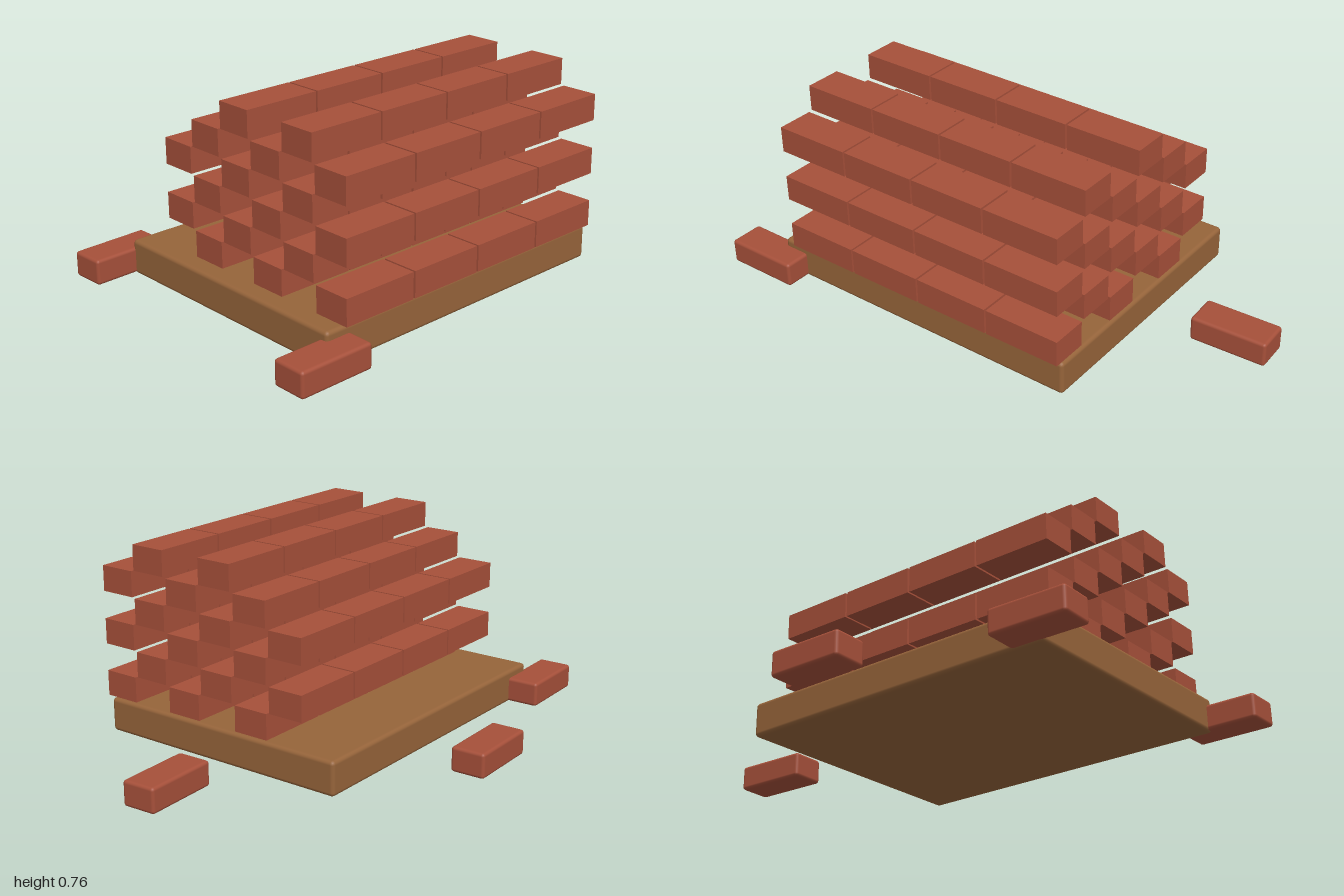
import * as THREE from 'three';
import { RoundedBoxGeometry } from 'three/addons/geometries/RoundedBoxGeometry.js';

export function createModel() {
  const model = new THREE.Group();
  model.name = 'brickPile';
  const brickRed = new THREE.MeshStandardMaterial({ color: 0xa6503a });
  brickRed.name = 'brickRed';
  const wood = new THREE.MeshStandardMaterial({ color: 0x96643a });
  wood.name = 'wood';

  const add = (parent, name, geometry, material, x, y, z, turn = 0) => {
    const mesh = new THREE.Mesh(geometry, material);
    mesh.name = name;
    mesh.position.set(x, y, z);
    mesh.rotation.y = turn;
    parent.add(mesh);
  };

  // Wooden base slab with softened edges
  add(model, 'base', new RoundedBoxGeometry(1.315, 0.133, 1.06, 2, 0.015), wood, -0.15, 0.0665, 0.115);

  // Stacked courses: alternate layers are shifted half a step in depth
  const stack = new THREE.Group();
  stack.name = 'brickStack';
  model.add(stack);
  const brick = new THREE.BoxGeometry(0.304, 0.1, 0.145);
  for (let layer = 0; layer < 6; layer++) {
    const rows = layer === 5 ? 2 : 3;
    const frontZ = layer % 2 ? 0.436 : 0.594;
    for (let row = 0; row < rows; row++) {
      for (let i = 0; i < 4; i++) {
        add(stack, 'stackedBrick', brick, brickRed, -0.588 + i * 0.312, 0.188 + layer * 0.1038, frontZ - row * 0.318);
      }
    }
  }

  // Loose bricks lying around the base: x, z, turn
  const looseBrick = new RoundedBoxGeometry(0.3, 0.097, 0.136, 2, 0.012);
  const loose = [
    [-0.85, 0.677, 0],
    [-0.83, -0.467, 0.03],
    [-0.075, -0.68, 0.025],
    [0.842, 0.047, 0.045],
  ];
  for (const [x, z, turn] of loose) add(model, 'looseBrick', looseBrick, brickRed, x, 0.0535, z, turn);

  return model;
}
